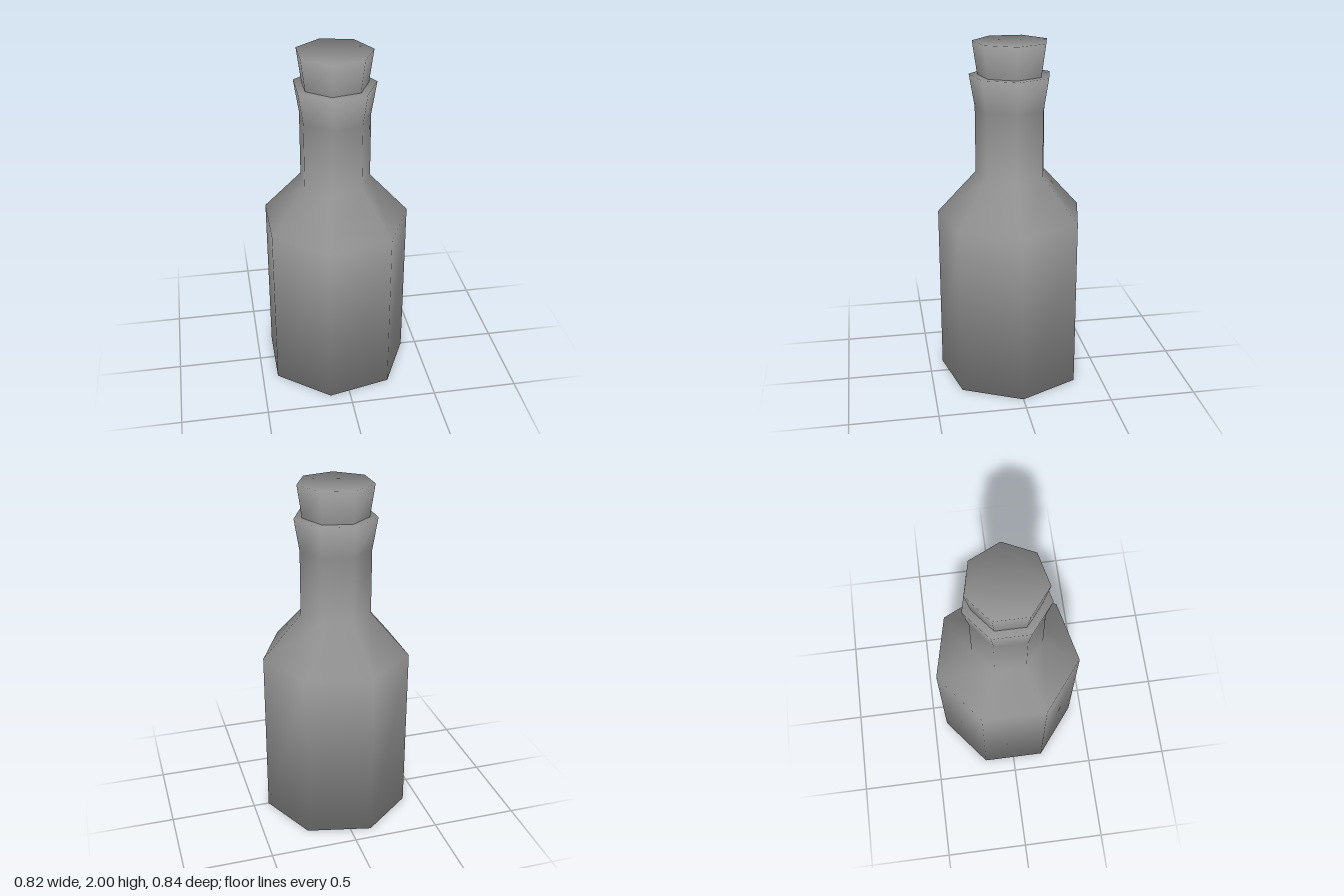
import * as THREE from 'three';

const SIDES = 7;

// Seven-sided solid from [radius, height] rings, bottom to top, with a top cap
// and an optional floor. Normals are shared across every edge, caps included.
function turnedSolid(profile, hasFloor) {
  const last = profile.length - 1;
  const position = [], normal = [], index = [];
  const faceTilt = Math.cos(Math.PI / SIDES);
  const capWeight = 1 - 2 / SIDES; // half the cap corner, in quarter turns

  profile.forEach(([r, y], i) => {
    // add up the slopes below and above this ring
    let out = 0, up = 0;
    for (const k of [i - 1, i]) {
      if (k < 0 || k >= last) continue;
      const dr = profile[k + 1][0] - profile[k][0];
      const dy = profile[k + 1][1] - profile[k][1];
      const len = Math.hypot(dr, dy);
      out += (dy / len) * faceTilt;
      up -= dr / len;
    }
    if (i === 0 && hasFloor) up -= capWeight;
    if (i === last) up += capWeight;
    const len = Math.hypot(out, up);

    for (let j = 0; j < SIDES; j++) {
      const a = (j / SIDES) * Math.PI * 2;
      const c = Math.cos(a), s = Math.sin(a);
      position.push(r * c, y, r * s);
      normal.push((out / len) * c, up / len, (out / len) * s);
    }
  });

  // side walls
  for (let i = 0; i < last; i++) {
    for (let j = 0; j < SIDES; j++) {
      const a = i * SIDES + j, b = i * SIDES + (j + 1) % SIDES;
      index.push(a, a + SIDES, b, a + SIDES, b + SIDES, b);
    }
  }
  // floor and top cap
  const t = last * SIDES;
  for (let j = 1; j < SIDES - 1; j++) {
    if (hasFloor) index.push(0, j, j + 1);
    index.push(t, t + j + 1, t + j);
  }

  const g = new THREE.BufferGeometry();
  g.setAttribute('position', new THREE.Float32BufferAttribute(position, 3));
  g.setAttribute('normal', new THREE.Float32BufferAttribute(normal, 3));
  g.setIndex(index);
  return g;
}

export function createModel() {
  const group = new THREE.Group();
  group.name = 'bottle';
  const material = new THREE.MeshStandardMaterial({ color: 0x959595 });

  const addPart = (name, profile, hasFloor) => {
    const mesh = new THREE.Mesh(turnedSolid(profile, hasFloor), material);
    mesh.name = name;
    mesh.position.x = -0.0215; // an odd-sided ring is off-centre in its box
    group.add(mesh);
  };

  // body, shoulder, neck and flared lip
  addPart('bottleBody', [[0.43, 0], [0.43, 1], [0.205, 1.25], [0.205, 1.63], [0.236, 1.815]], true);
  // tapered stopper, its open end sunk into the lip
  addPart('stopper', [[0.187, 1.8], [0.216, 2]], false);

  return group;
}
